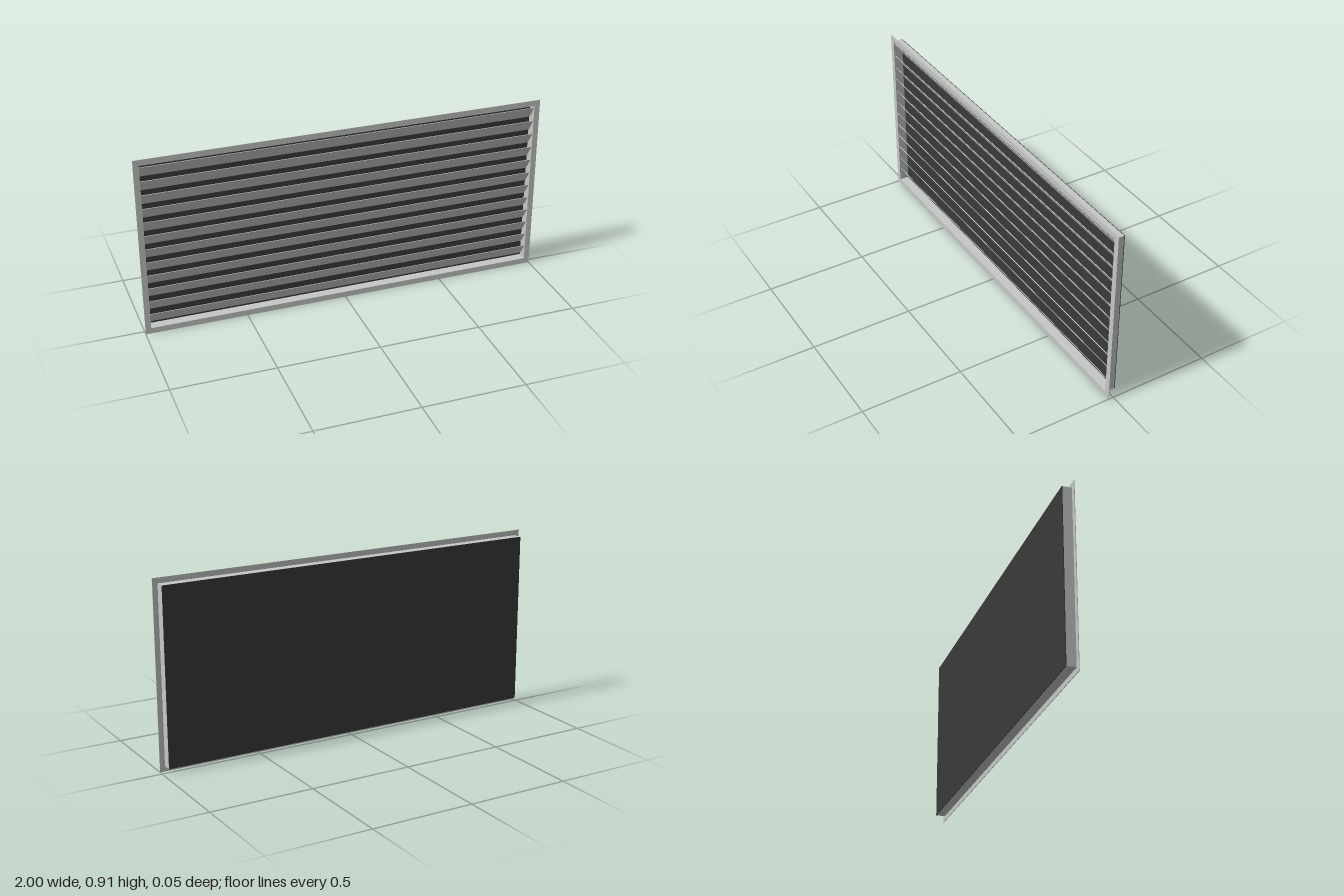
import * as THREE from 'three';

const metal = new THREE.MeshStandardMaterial({ color: 0xc4c7c5 });
metal.name = 'light grey metal';
const dark = new THREE.MeshStandardMaterial({ color: 0x3a3a3a });
dark.name = 'dark backing';

const W = 2, H = 0.906;            // outer flange
const IW = 1.95, IH = 0.854;       // sleeve
const FRONT = 0.025, BACK = -0.025;
const T = 0.003;                   // sheet thickness

// Rectangular ring extruded along z
function ring(name, w, h, iw, ih, z0, z1) {
  const rect = (P, a, b) => {
    const p = new P();
    p.moveTo(-a / 2, -b / 2);
    p.lineTo(a / 2, -b / 2);
    p.lineTo(a / 2, b / 2);
    p.lineTo(-a / 2, b / 2);
    p.closePath();
    return p;
  };
  const shape = rect(THREE.Shape, w, h);
  shape.holes.push(rect(THREE.Path, iw, ih));
  const geo = new THREE.ExtrudeGeometry(shape, { depth: z1 - z0, bevelEnabled: false });
  const mesh = new THREE.Mesh(geo, metal);
  mesh.name = name;
  mesh.position.set(0, H / 2, z0);
  return mesh;
}

export function createModel() {
  const group = new THREE.Group();
  group.name = 'louvreGrille';

  // Thin front flange and the sleeve behind it
  const iw = IW - 2 * T, ih = IH - 2 * T;
  group.add(ring('flange', W, H, iw, ih, FRONT - T, FRONT));
  group.add(ring('sleeve', IW, IH, iw, ih, BACK + T, FRONT - T));

  // Dark panel closing the back
  const panel = new THREE.Mesh(new THREE.BoxGeometry(IW, IH, T), dark);
  panel.name = 'backPanel';
  panel.position.set(0, H / 2, BACK + T / 2);
  group.add(panel);

  // Twelve slats, top edge leaning forward
  const count = 12, pitch = 0.0695, rise = 0.062, run = 0.04;
  const slatGeo = new THREE.BoxGeometry(iw, Math.hypot(rise, run), 0.0025);
  const slats = new THREE.Group();
  slats.name = 'slats';
  for (let i = 0; i < count; i++) {
    const slat = new THREE.Mesh(slatGeo, metal);
    slat.name = 'slat';
    slat.position.set(0, H / 2 + (i - (count - 1) / 2) * pitch, 0);
    slat.rotation.x = Math.atan2(run, rise);
    slats.add(slat);
  }
  group.add(slats);
  return group;
}
